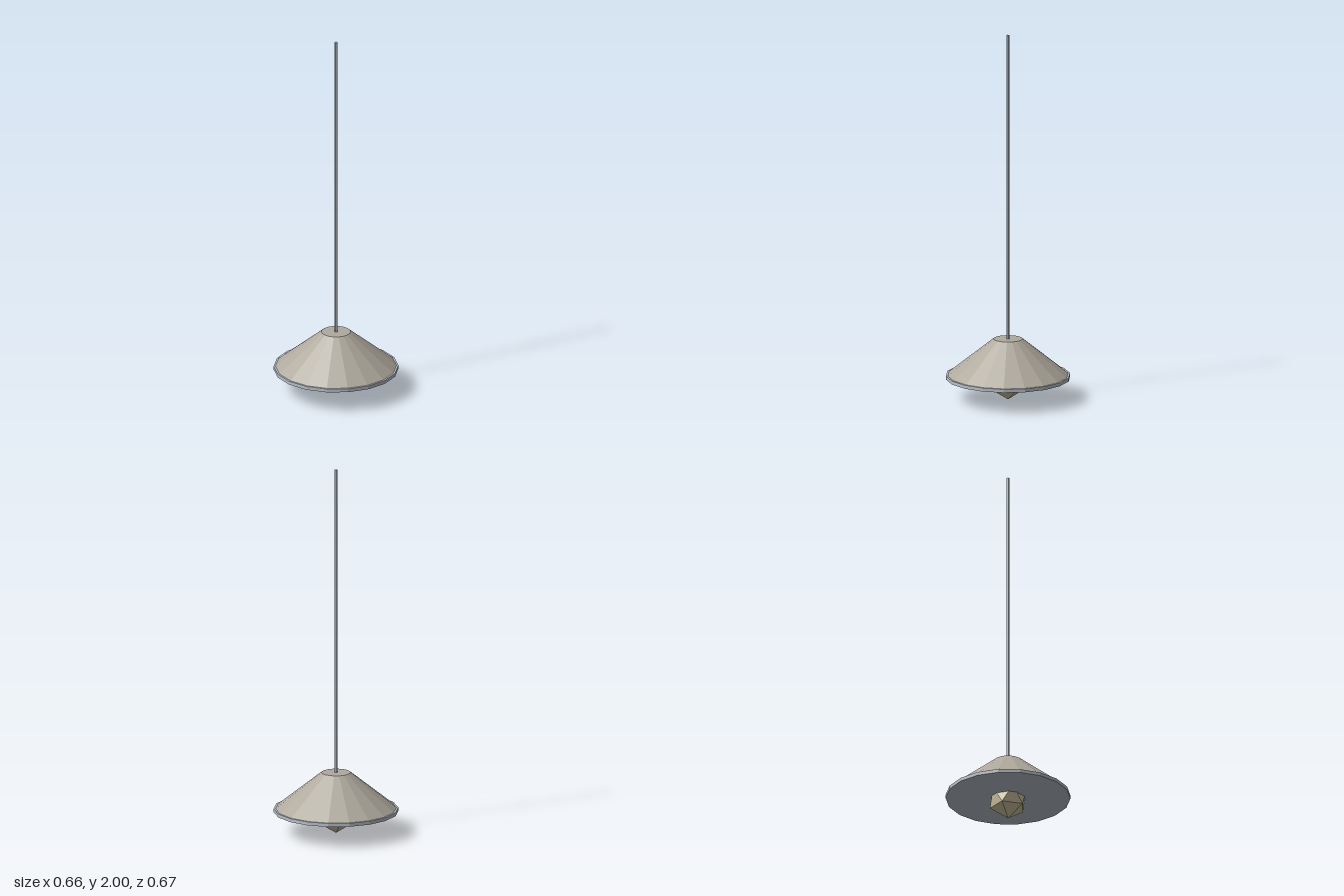
import * as THREE from 'three';

const metal = new THREE.MeshStandardMaterial({ color: 0xb8bfc8, flatShading: true });
metal.name = 'pale steel';
const enamel = new THREE.MeshStandardMaterial({ color: 0xb0aa9e, flatShading: true });
enamel.name = 'warm grey enamel';
const glass = new THREE.MeshStandardMaterial({ color: 0xd2c5a2, flatShading: true });
glass.name = 'cream glass';

const SIDES = 18;

// Upright prism or frustum between two heights
function frustum(name, topR, bottomR, y0, y1, sides, material) {
  const geometry = new THREE.CylinderGeometry(topR, bottomR, y1 - y0, sides);
  geometry.translate(0, (y0 + y1) / 2, 0);
  const mesh = new THREE.Mesh(geometry, material);
  mesh.name = name;
  return mesh;
}

// Icosahedron standing on a vertex, lower ring pointing to -x
function bulbGeometry(radius) {
  const points = [new THREE.Vector3(0, -radius, 0)];
  const ringY = radius / Math.sqrt(5);
  const ringR = 2 * ringY;
  for (const [y, start] of [[-ringY, Math.PI], [ringY, 0]]) {
    for (let i = 0; i < 5; i++) {
      const a = start + (i * Math.PI * 2) / 5;
      points.push(new THREE.Vector3(ringR * Math.cos(a), y, ringR * Math.sin(a)));
    }
  }
  points.push(new THREE.Vector3(0, radius, 0));

  const index = [];
  for (let i = 0; i < 5; i++) {
    const j = (i + 1) % 5;
    const low = 1 + i, lowNext = 1 + j;
    // Upper vertex lying between the two lower ones
    const up = 6 + ((i + 3) % 5), upNext = 6 + ((j + 3) % 5);
    index.push(0, low, lowNext);
    index.push(low, up, lowNext);
    index.push(up, upNext, lowNext);
    index.push(11, upNext, up);
  }
  const geometry = new THREE.BufferGeometry().setFromPoints(points);
  geometry.setIndex(index);
  const flat = geometry.toNonIndexed();
  flat.computeVertexNormals();
  return flat;
}

export function createModel() {
  const lamp = new THREE.Group();
  lamp.name = 'pendantLamp';

  // Hanging rod, shade and the flat rim plate below it
  lamp.add(frustum('rod', 0.009, 0.009, 0.32, 2, 6, metal));
  lamp.add(frustum('shade', 0.078, 0.323, 0.136, 0.333, SIDES, enamel));
  lamp.add(frustum('rimPlate', 0.333, 0.333, 0.117, 0.136, SIDES, metal));

  // Faceted bulb poking out of the plate
  const radius = 0.108;
  const bulb = new THREE.Mesh(bulbGeometry(radius), glass);
  bulb.name = 'bulb';
  bulb.position.y = radius;
  lamp.add(bulb);

  return lamp;
}
